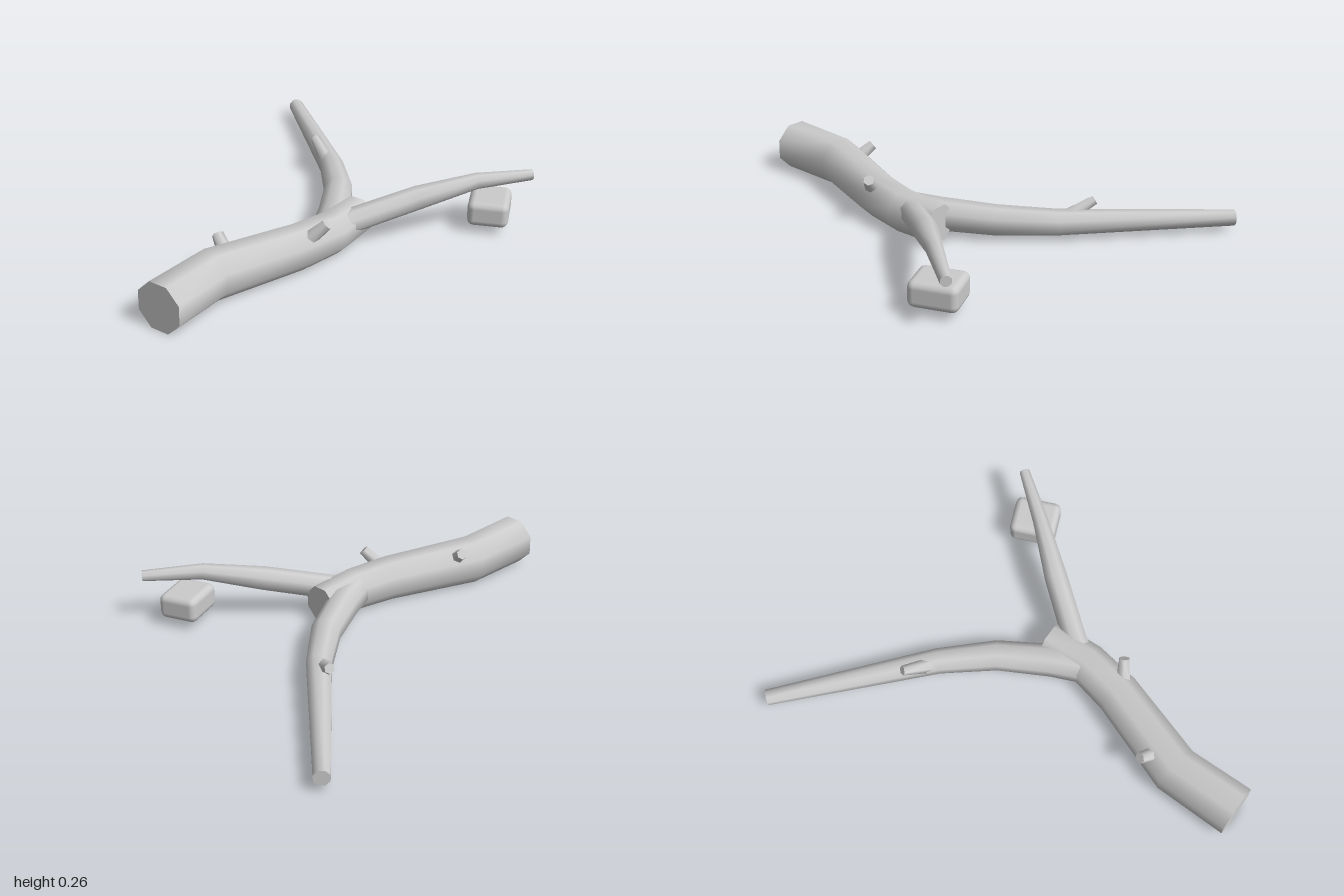
import * as THREE from 'three';
import { RoundedBoxGeometry } from 'three/addons/geometries/RoundedBoxGeometry.js';

const material = new THREE.MeshStandardMaterial({ color: 0xcccccc });

// Tapered limb through rows of [x, y, z, radius], with flat caps
function limb(name, rows, sides) {
  const pts = rows.map(r => new THREE.Vector3(r[0], r[1], r[2]));
  const up = new THREE.Vector3(0, 1, 0);
  const pos = [], index = [];
  const last = rows.length - 1;
  const rings = pts.map((p, i) => {
    const before = pts[Math.max(i - 1, 0)], after = pts[Math.min(i + 1, last)];
    const t = after.clone().sub(before).normalize();
    const s = t.clone().cross(up).normalize();
    const u = s.clone().cross(t);
    return Array.from({ length: sides }, (_, j) => {
      const a = (j + 0.5) / sides * Math.PI * 2;
      return p.clone().addScaledVector(s, Math.cos(a) * rows[i][3])
        .addScaledVector(u, Math.sin(a) * rows[i][3]);
    });
  });
  const add = v => pos.push(v.x, v.y, v.z) / 3 - 1;

  // Smooth bark
  rings.forEach(ring => ring.forEach(add));
  for (let i = 0; i < last; i++) {
    for (let j = 0; j < sides; j++) {
      const k = (j + 1) % sides;
      const a = i * sides + j, b = i * sides + k, c = a + sides, d = b + sides;
      index.push(c, d, a, d, b, a);
    }
  }
  // Cut ends, with their own vertices for a sharp rim
  for (const end of [0, last]) {
    const centre = add(pts[end]);
    rings[end].forEach(add);
    for (let j = 0; j < sides; j++) {
      const a = centre + 1 + j, b = centre + 1 + (j + 1) % sides;
      if (end === 0) index.push(centre, a, b);
      else index.push(centre, b, a);
    }
  }
  const geo = new THREE.BufferGeometry();
  geo.setAttribute('position', new THREE.Float32BufferAttribute(pos, 3));
  geo.setIndex(index);
  geo.computeVertexNormals();
  const mesh = new THREE.Mesh(geo, material);
  mesh.name = name;
  return mesh;
}

export function createModel() {
  const group = new THREE.Group();
  group.name = 'fallenBranch';

  // Main trunk and its two forks
  group.add(limb('trunk', [
    [-0.985, 0.110, 0.037, 0.113],
    [-0.670, 0.106, 0.035, 0.110],
    [-0.270, 0.098, 0.172, 0.100],
    [-0.080, 0.093, 0.207, 0.095],
    [0.125, 0.090, 0.200, 0.088],
  ], 8));
  group.add(limb('backFork', [
    [-0.080, 0.098, 0.190, 0.075],
    [0.060, 0.094, 0.125, 0.073],
    [0.270, 0.088, 0.000, 0.067],
    [0.465, 0.080, -0.175, 0.057],
    [0.970, 0.063, -0.760, 0.035],
  ], 8));
  group.add(limb('frontFork', [
    [-0.045, 0.115, 0.215, 0.050],
    [0.030, 0.127, 0.257, 0.055],
    [0.260, 0.187, 0.427, 0.053],
    [0.470, 0.232, 0.593, 0.036],
    [0.680, 0.225, 0.752, 0.024],
  ], 8));

  // Broken twig stubs
  const stubs = [
    [[-0.570, 0.140, 0.040, 0.036], [-0.530, 0.205, -0.042, 0.025]],
    [[-0.270, 0.130, 0.205, 0.036], [-0.217, 0.218, 0.283, 0.025]],
    [[0.470, 0.090, -0.205, 0.036], [0.540, 0.157, -0.325, 0.022]],
  ];
  stubs.forEach((rows, i) => group.add(limb('twigStub' + (i + 1), rows, 6)));

  // Rounded block below the front fork
  const block = new THREE.Mesh(new RoundedBoxGeometry(0.21, 0.114, 0.18, 2, 0.03), material);
  block.name = 'block';
  block.position.set(0.53, 0.095, 0.633);
  block.rotation.y = 0.42;
  group.add(block);

  return group;
}
